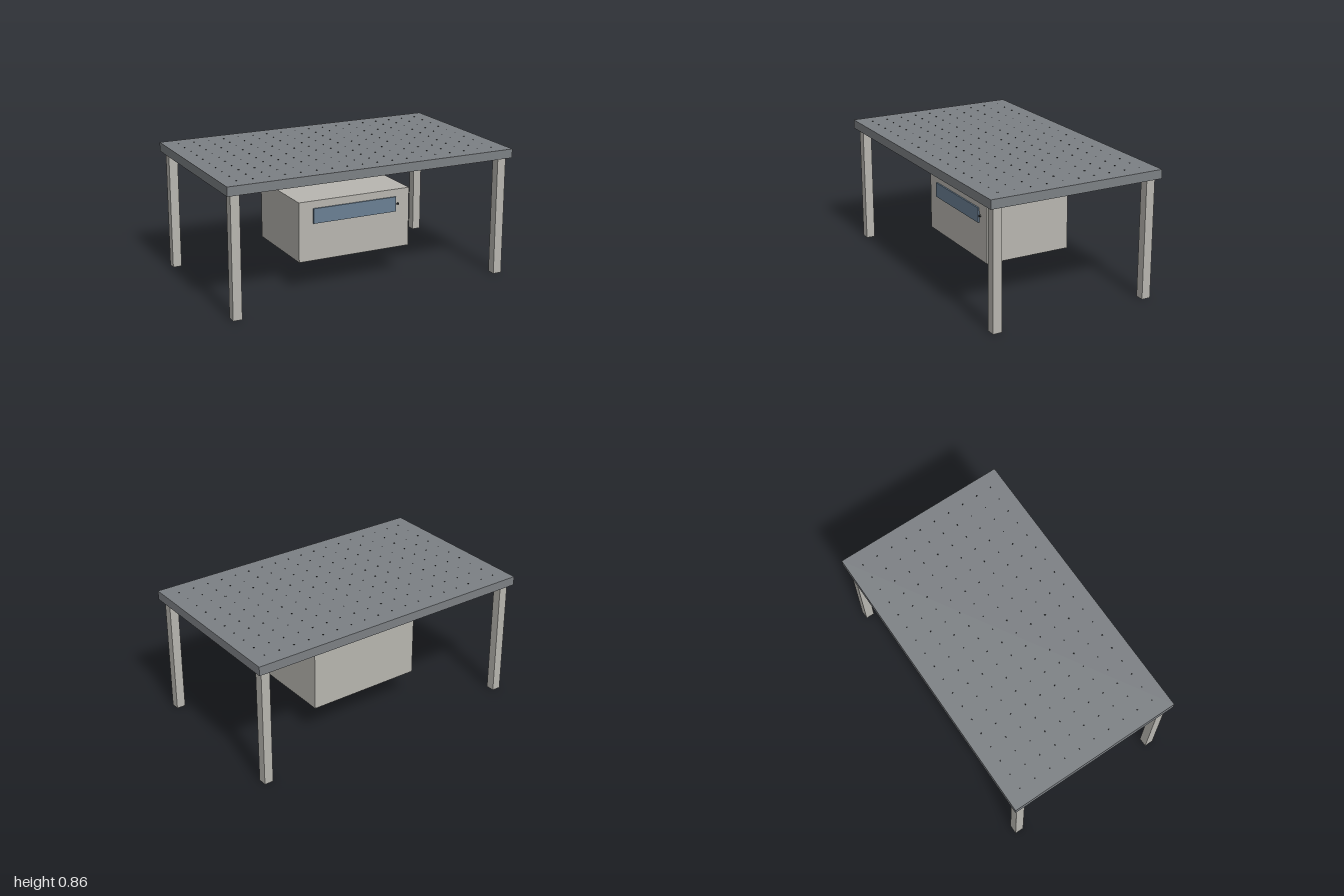
import * as THREE from 'three';

const mat = (color) => new THREE.MeshStandardMaterial({ color });

export function createModel() {
  const model = new THREE.Group();
  const slate = mat(0x7c8084), stone = mat(0xb8b6b0), blue = mat(0x6a7f93), dark = mat(0x2a2c2e);

  const add = (name, geometry, material, x, y, z, parent = model) => {
    const mesh = new THREE.Mesh(geometry, material);
    mesh.name = name;
    mesh.position.set(x, y, z);
    parent.add(mesh);
    return mesh;
  };

  // Table top
  add('tableTop', new THREE.BoxGeometry(2, 0.06, 1.2), slate, 0, 0.83, 0);

  // Four square legs
  const legGeometry = new THREE.BoxGeometry(0.06, 0.8, 0.06);
  for (const [side, sx] of [['Left', 1], ['Right', -1]]) {
    for (const [end, sz] of [['front', 1], ['back', -1]]) {
      add(`${end}${side}Leg`, legGeometry, stone, sx * 0.94, 0.4, sz * 0.54);
    }
  }

  // Grid of tiny air holes, as dark discs just proud of the surface
  const airHoles = new THREE.Group();
  airHoles.name = 'airHoles';
  model.add(airHoles);
  const holeGeometry = new THREE.CylinderGeometry(0.005, 0.005, 0.004, 12);
  const columns = 18, rows = 10;
  for (let i = 0; i < columns; i++) {
    for (let j = 0; j < rows; j++) {
      const x = -0.9 + (1.8 * i) / (columns - 1);
      const z = -0.5 + j / (rows - 1);
      add('airHole', holeGeometry, dark, x, 0.86, z, airHoles);
    }
  }

  // Blower housing hanging under the top
  add('housing', new THREE.BoxGeometry(0.8, 0.4, 0.6), stone, 0, 0.4, 0);

  // Control panel and its button on the front of the housing
  add('controlPanel', new THREE.BoxGeometry(0.6, 0.1, 0.01), blue, 0, 0.5, 0.305);
  const button = add('button', new THREE.CylinderGeometry(0.007, 0.007, 0.01, 16), dark, 0.315, 0.5, 0.305);
  button.rotation.x = Math.PI / 2;

  return model;
}
